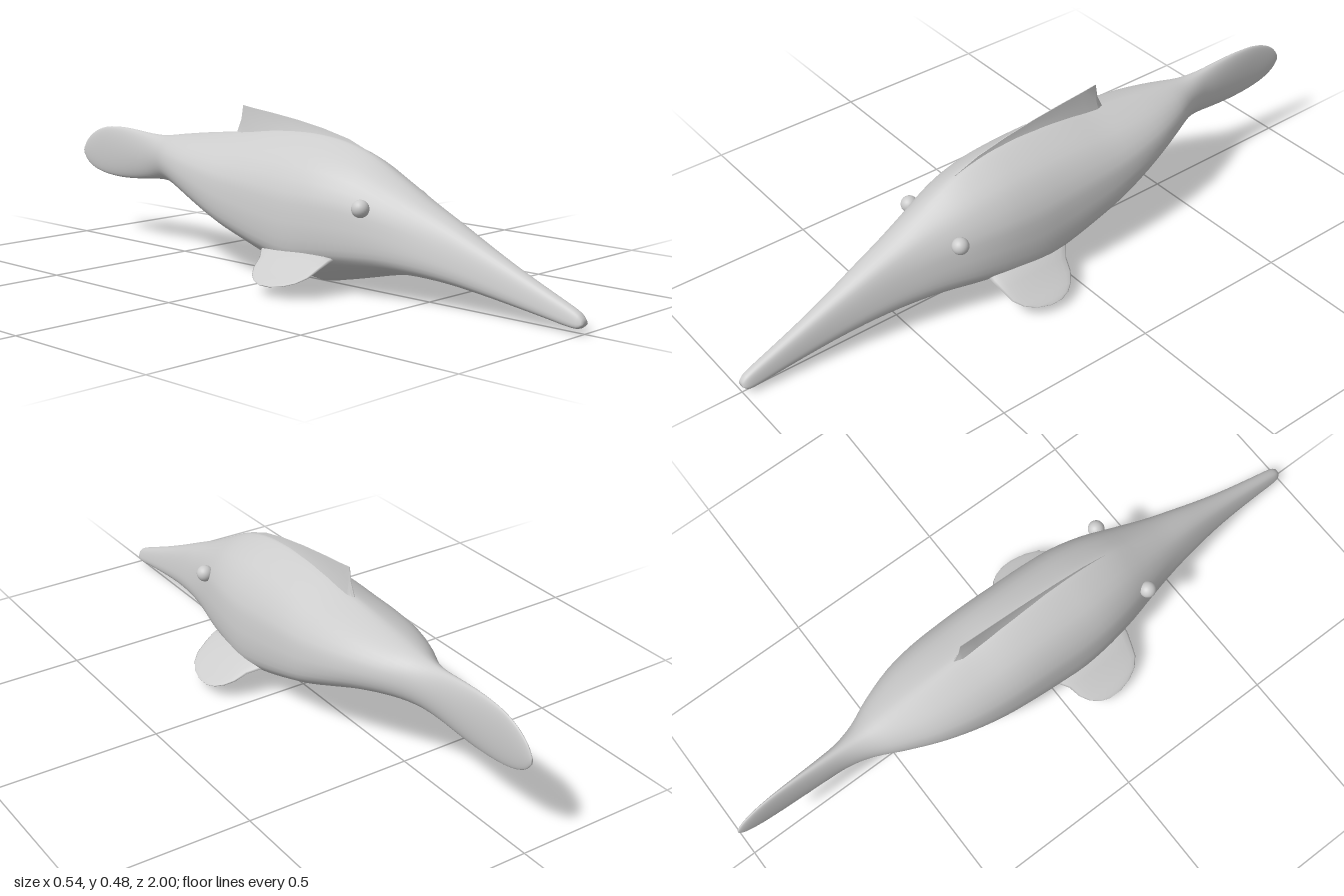
import * as THREE from 'three';
import { toCreasedNormals } from 'three/addons/utils/BufferGeometryUtils.js';

// Skin a list of closed rings (arrays of [x, y, z]) and cap both ends
function loft(rings) {
  const n = rings[0].length, last = rings.length - 1;
  const pos = rings.flat(2), idx = [];
  for (let i = 0; i < last; i++) {
    for (let j = 0; j < n; j++) {
      const a = i * n + j, b = i * n + (j + 1) % n;
      idx.push(a, a + n, b, b, a + n, b + n);
    }
  }
  for (const i of [0, last]) {
    const c = [0, 1, 2].map(k => rings[i].reduce((s, p) => s + p[k], 0) / n);
    const ci = pos.length / 3;
    pos.push(...c);
    for (let j = 0; j < n; j++) {
      const a = i * n + j, b = i * n + (j + 1) % n;
      if (i === 0) idx.push(ci, a, b); else idx.push(ci, b, a);
    }
  }
  const g = new THREE.BufferGeometry();
  g.setAttribute('position', new THREE.Float32BufferAttribute(pos, 3));
  g.setIndex(idx);
  g.computeVertexNormals();
  return g;
}

const spline = pts => new THREE.CatmullRomCurve3(
  pts.map(p => new THREE.Vector3(p[0], p[1], p[2] || 0)), false, 'catmullrom', 0.5);

// Half outlines from belly to back: [share of half width, share of height]
const SNOUT = spline([[0, 0], [0.4, 0.02], [0.75, 0.06], [0.95, 0.15], [1, 0.28], [0.97, 0.4],
  [0.91, 0.53], [0.82, 0.67], [0.7, 0.8], [0.53, 0.91], [0.27, 0.98], [0, 1]]);
const TRUNK = spline([[0, 0], [0.35, 0.06], [0.68, 0.13], [0.9, 0.2], [0.98, 0.28], [1, 0.4],
  [0.98, 0.51], [0.92, 0.65], [0.7, 0.81], [0.42, 0.91], [0.13, 0.98], [0, 1]]);
const TAIL = spline(Array.from({ length: 12 }, (_, i) => {
  const a = Math.PI * i / 11;
  return [Math.sin(a), 0.5 - 0.5 * Math.cos(a)];
}));

// Body stations: z, top, bottom, half width, outline (0 snout, 1 trunk, 2 tail)
const BODY = [
  [1, 0.037, 0.022, 0.012, 0], [0.985, 0.053, 0.012, 0.02, 0], [0.95, 0.07, 0.014, 0.024, 0],
  [0.9, 0.091, 0.022, 0.028, 0], [0.8, 0.134, 0.037, 0.037, 0], [0.7, 0.18, 0.052, 0.05, 0],
  [0.6, 0.228, 0.065, 0.068, 0], [0.5, 0.275, 0.069, 0.089, 0.15], [0.4, 0.328, 0.06, 0.115, 0.5],
  [0.3, 0.38, 0.038, 0.142, 0.8], [0.2, 0.411, 0.016, 0.16, 1], [0.1, 0.424, 0, 0.168, 1],
  [0, 0.426, 0.021, 0.168, 1], [-0.1, 0.42, 0.056, 0.167, 1], [-0.2, 0.407, 0.096, 0.163, 1.05],
  [-0.3, 0.397, 0.143, 0.152, 1.2], [-0.4, 0.386, 0.186, 0.13, 1.4], [-0.5, 0.373, 0.213, 0.092, 1.7],
  [-0.58, 0.362, 0.22, 0.053, 1.9], [-0.65, 0.362, 0.216, 0.032, 2], [-0.72, 0.367, 0.209, 0.024, 2],
  [-0.8, 0.37, 0.205, 0.018, 2], [-0.88, 0.364, 0.209, 0.013, 2], [-0.94, 0.344, 0.221, 0.01, 2],
  [-0.98, 0.315, 0.241, 0.007, 2], [-1, 0.286, 0.265, 0.003, 2],
];

function bodyGeometry() {
  const size = spline(BODY.map(s => [s[1], s[2], s[3]]));
  const place = spline(BODY.map(s => [s[0], s[4]]));
  const steps = (BODY.length - 1) * 3, half = 22, rings = [];
  for (let i = 0; i <= steps; i++) {
    const { x: top, y: bottom, z: w } = size.getPoint(i / steps);
    const { x: z, y: mix } = place.getPoint(i / steps);
    const right = [];
    for (let j = 0; j <= half; j++) {
      const p = mix < 1
        ? SNOUT.getPoint(j / half).lerp(TRUNK.getPoint(j / half), Math.max(mix, 0))
        : TRUNK.getPoint(j / half).lerp(TAIL.getPoint(j / half), Math.min(mix - 1, 1));
      right.push([p.x * w, bottom + p.y * (top - bottom), z]);
    }
    const left = right.slice(1, -1).reverse().map(([x, y, zz]) => [-x, y, zz]);
    rings.push([...right, ...left]);
  }
  return loft(rings);
}

// Paddle stations: x, y, front z, back z, half thickness
const PADDLE = [
  [0.11, 0.11, 0.27, -0.03, 0.022], [0.15, 0.097, 0.268, 0, 0.017], [0.18, 0.081, 0.26, 0.024, 0.011],
  [0.215, 0.06, 0.25, 0.036, 0.007], [0.24, 0.046, 0.228, 0.055, 0.005],
  [0.258, 0.036, 0.195, 0.08, 0.004], [0.268, 0.03, 0.155, 0.11, 0.002],
];

function paddleGeometry(side) {
  const n = 20;
  return loft(PADDLE.map(([x, y, front, back, t]) => {
    const ring = Array.from({ length: n }, (_, j) => {
      const a = 2 * Math.PI * j / n, lift = t * Math.sin(a);
      return [side * (x + lift * 0.5), y + lift * 0.85,
        (front + back) / 2 + (front - back) / 2 * Math.cos(a)];
    });
    return side > 0 ? ring : ring.reverse();
  }));
}

// Dorsal fin stations: z, crest height, root height
const DORSAL = [
  [0.28, 0.389, 0.36], [0.2, 0.419, 0.38], [0.1, 0.441, 0.4], [0, 0.457, 0.405], [-0.1, 0.469, 0.4],
  [-0.18, 0.477, 0.39], [-0.228, 0.483, 0.385], [-0.236, 0.44, 0.385], [-0.255, 0.4, 0.38],
];

function dorsalGeometry() {
  return toCreasedNormals(loft(DORSAL.map(([z, top, root]) => {
    const mid = root + (top - root) * 0.5;
    return [[0.013, root, z], [0.004, mid, z], [0.001, top, z],
      [-0.001, top, z], [-0.004, mid, z], [-0.013, root, z]];
  })), 0.7);
}

export function createModel() {
  const model = new THREE.Group();
  model.name = 'seaCreature';
  const material = new THREE.MeshStandardMaterial({ color: 0xcccccc });
  const add = (name, geometry) => {
    const mesh = new THREE.Mesh(geometry, material);
    mesh.name = name;
    model.add(mesh);
    return mesh;
  };

  add('body', bodyGeometry());
  add('dorsalFin', dorsalGeometry());

  // Paired paddles and eyes
  for (const [label, side] of [['left', 1], ['right', -1]]) {
    add(label + 'Paddle', paddleGeometry(side));
    add(label + 'Eye', new THREE.SphereGeometry(0.025, 24, 16))
      .position.set(side * 0.122, 0.254, 0.355);
  }
  return model;
}
